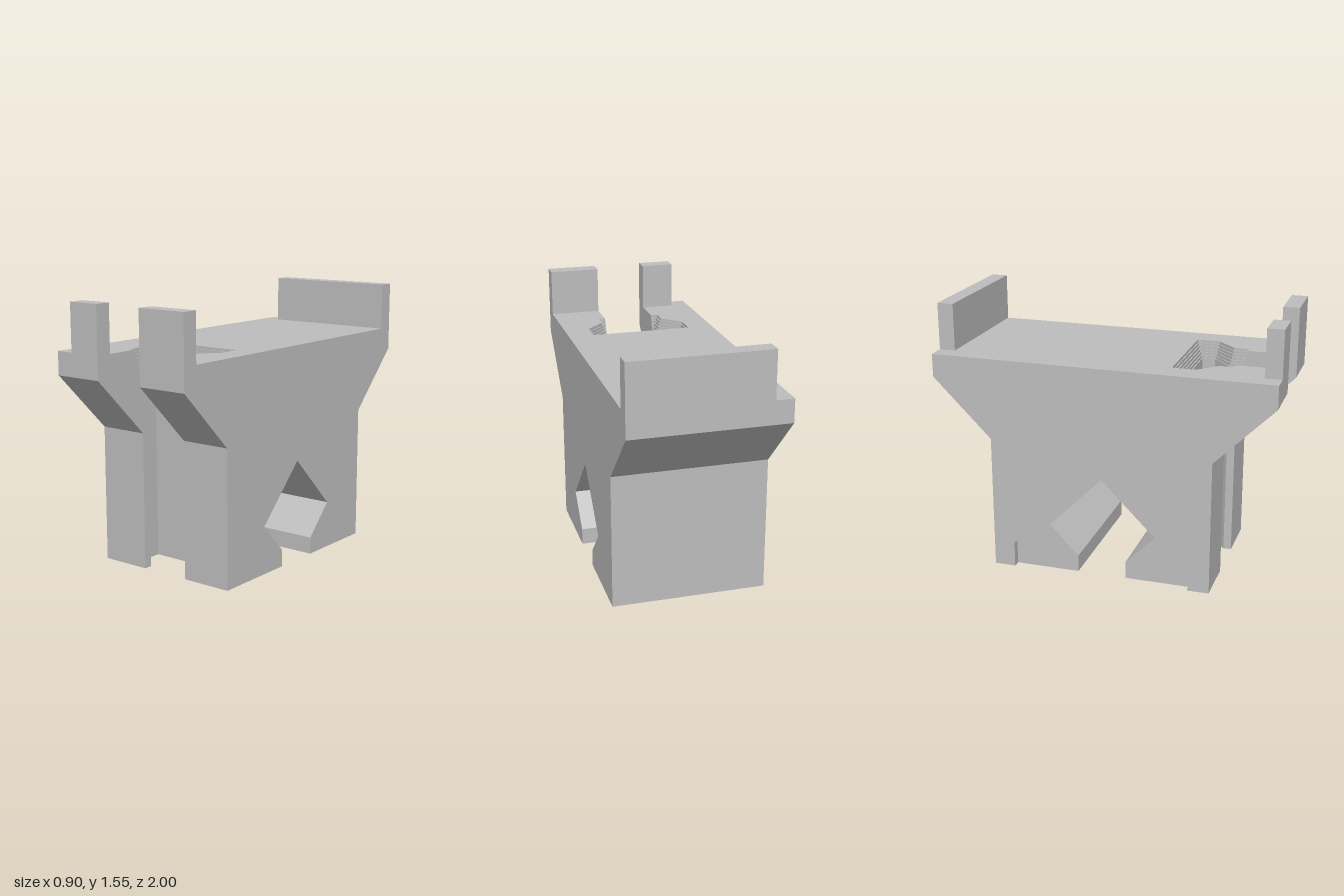
import * as THREE from 'three';

export function createModel() {
  const model = new THREE.Group();
  const grey = new THREE.MeshStandardMaterial({ color: 0xbdbdbd });
  grey.name = 'grey';

  const add = (name, geometry) => {
    const mesh = new THREE.Mesh(geometry, grey);
    mesh.name = name;
    model.add(mesh);
  };
  const extrude = (points, depth) => new THREE.ExtrudeGeometry(
    new THREE.Shape(points.map(([a, b]) => new THREE.Vector2(a, b))),
    { depth, bevelEnabled: false });

  // Slab from a (z, y) outline, running from x0 to x1
  const slab = (name, zy, x0, x1) => add(name,
    extrude(zy.map(([z, y]) => [-z, y]), x1 - x0).rotateY(Math.PI / 2).translate(x0, 0, 0));
  // Layer from an (x, z) outline, running from y0 to y1
  const layer = (name, xz, y0, y1) => add(name,
    extrude(xz.map(([x, z]) => [x, -z]), y1 - y0).rotateX(-Math.PI / 2).translate(0, y0, 0));
  const mirror = (half) => [...half, ...half.map(([a, b]) => [-a, b]).reverse()];

  const TOP = 1.275, W = 0.45, CORE = 0.32, BACK = 0.36;
  const rear = [[-1, TOP], [-1, 1.14], [-0.655, 0.795], [-0.655, 0]];
  const front = rear.map(([z, y]) => [-z, y]).reverse();
  const diamond = mirror([[-0.145, 0], [-0.145, 0.1], [-0.32, 0.28], [0, 0.6]]);
  const recess = [[-0.53, 0], [-0.53, 0.15], [0, 0.67], [0.53, 0.15], [0.53, 0]];

  // Body: side walls and the solid rear, with the diamond tunnel through them
  slab('recessedSide', [...rear, ...recess, ...front], -W, -0.405);
  slab('rightWall', [...rear, ...diamond, ...front], -0.405, -CORE);
  slab('leftWall', [...rear, ...diamond, ...front], CORE, W);
  slab('rearBody', [...rear, ...diamond, [BACK, 0], [BACK, TOP]], -CORE, CORE);

  // Vertical T-slot around the middle of the front, widened by d
  const flareY = 1.175;
  const slot = (d, end) => mirror([
    [CORE, BACK], [CORE, end], [0.15, end],
    ...(d ? [[0.15, 0.67 + d], [0.15 + d, 0.67 + d]] : []),
    [0.15 + d, 0.608 + 0.41 * d], [0.26 + d, 0.498 + 0.41 * d], [0.26 + d, 0.42 - d],
  ]);
  layer('slotWalls', slot(0, 0.655), 0, flareY);

  // Stepped flare at the mouth of the slot
  const steps = 6, rise = (TOP - flareY) / steps;
  for (let i = 0; i < steps; i++) {
    layer('slotFlare', slot(0.04 * (i + 1) / steps, 0.72), flareY + i * rise, flareY + (i + 1) * rise);
  }

  // Overhanging corbels on both sides of the slot
  const corbel = [[0.655, 0.795], [1, 1.14], [1, TOP], [0.72, TOP], [0.72, flareY], [0.655, flareY]];
  slab('rightCorbel', corbel, -CORE, -0.15);
  slab('leftCorbel', corbel, 0.15, CORE);

  // Upright lips at both ends
  const lip = (name, x0, x1, s) => add(name,
    new THREE.BoxGeometry(x1 - x0, 0.275, 0.095).translate((x0 + x1) / 2, TOP + 0.1375, s * 0.9525));
  lip('rearLip', -0.345, W, -1);
  lip('frontRightLip', -0.345, -0.15, 1);
  lip('frontLeftLip', 0.15, W, 1);

  return model;
}
